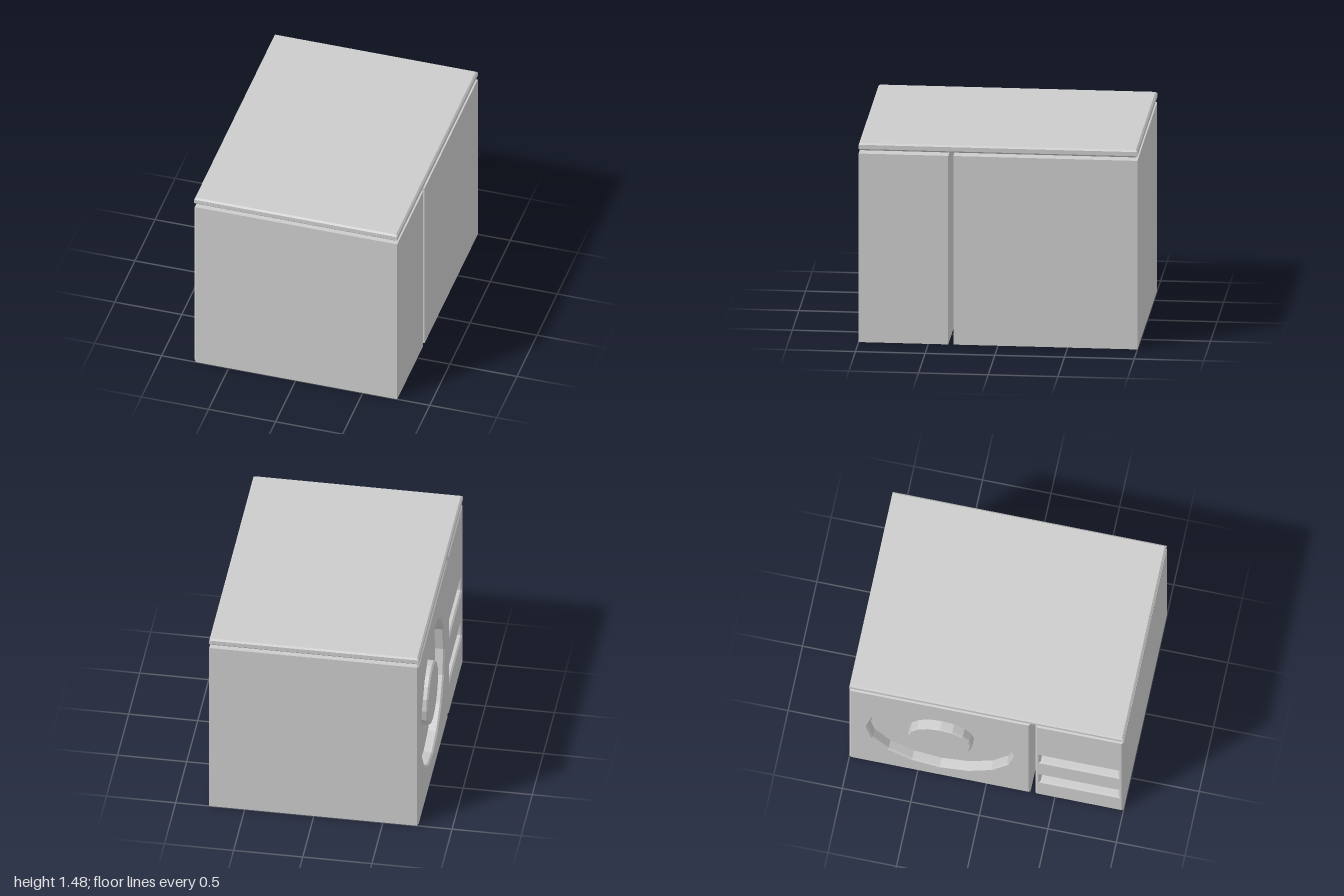
import * as THREE from 'three';

const W = 0.757, H = 1.403, BEVEL = 0.012, RECESS = 0.07;
const material = new THREE.MeshStandardMaterial({ color: 0xcccccc, flatShading: true });

function addMesh(parent, name, geometry) {
  const mesh = new THREE.Mesh(geometry, material);
  mesh.name = name;
  parent.add(mesh);
}

const rectangle = (a0, b0, a1, b1) => [[a0, b0], [a1, b0], [a1, b1], [a0, b1]].map(p => new THREE.Vector2(...p));

function polygon(cx, cy, r, sides = 16) {
  return Array.from({ length: sides }, (_, i) => {
    const a = (i / sides) * Math.PI * 2;
    return new THREE.Vector2(cx + r * Math.cos(a), cy + r * Math.sin(a));
  });
}

// Prism with chamfered rims on both ends, running from `start` to `end` along z
function chamferedPrism(outline, holes, start, end) {
  const shape = new THREE.Shape(outline);
  shape.holes = holes.map(h => new THREE.Path(h));
  const geometry = new THREE.ExtrudeGeometry(shape, {
    depth: end - start - 2 * BEVEL,
    bevelThickness: BEVEL, bevelSize: BEVEL, bevelOffset: -BEVEL, bevelSegments: 1,
  });
  return geometry.translate(0, 0, start + BEVEL);
}

// Plate on the right (-x) side, drawn in (z, y); its inner rim is sunk in the core
function sidePlate(outline, holes = []) {
  return chamferedPrism(outline, holes, W - RECESS - BEVEL, W).rotateY(-Math.PI / 2);
}

// Solid block of the body behind its side plate
function blockCore(z0, z1) {
  return new THREE.BoxGeometry(2 * W - RECESS, H, z1 - z0).translate(RECESS / 2, H / 2, (z0 + z1) / 2);
}

export function createModel() {
  const model = new THREE.Group();
  model.name = 'cabinet';

  // Rear block with a round recess and a central boss
  const rear = new THREE.Group();
  rear.name = 'rearBlock';
  const [r0, r1] = [-1, 0.321];
  const cz = (r0 + r1) / 2, cy = H / 2;
  addMesh(rear, 'rearCore', blockCore(r0, r1));
  addMesh(rear, 'ringPlate', sidePlate(rectangle(r0, 0, r1, H), [polygon(cz, cy, 0.53)]));
  addMesh(rear, 'centreBoss', sidePlate(polygon(cz, cy, 0.235)));

  // Front block with two long slots
  const front = new THREE.Group();
  front.name = 'frontBlock';
  const [f0, f1] = [0.357, 1];
  const slots = [0.262, 0.664].map(y => rectangle(f0 + 0.037, y, f1 - 0.037, y + 0.15));
  addMesh(front, 'frontCore', blockCore(f0, f1));
  addMesh(front, 'slotPlate', sidePlate(rectangle(f0, 0, f1, H), slots));

  model.add(rear, front);

  // Chamfered lid floating just above the body
  addMesh(model, 'lid', chamferedPrism(rectangle(-W, -1, W, 1), [], 1.425, 1.48).rotateX(-Math.PI / 2));
  return model;
}
